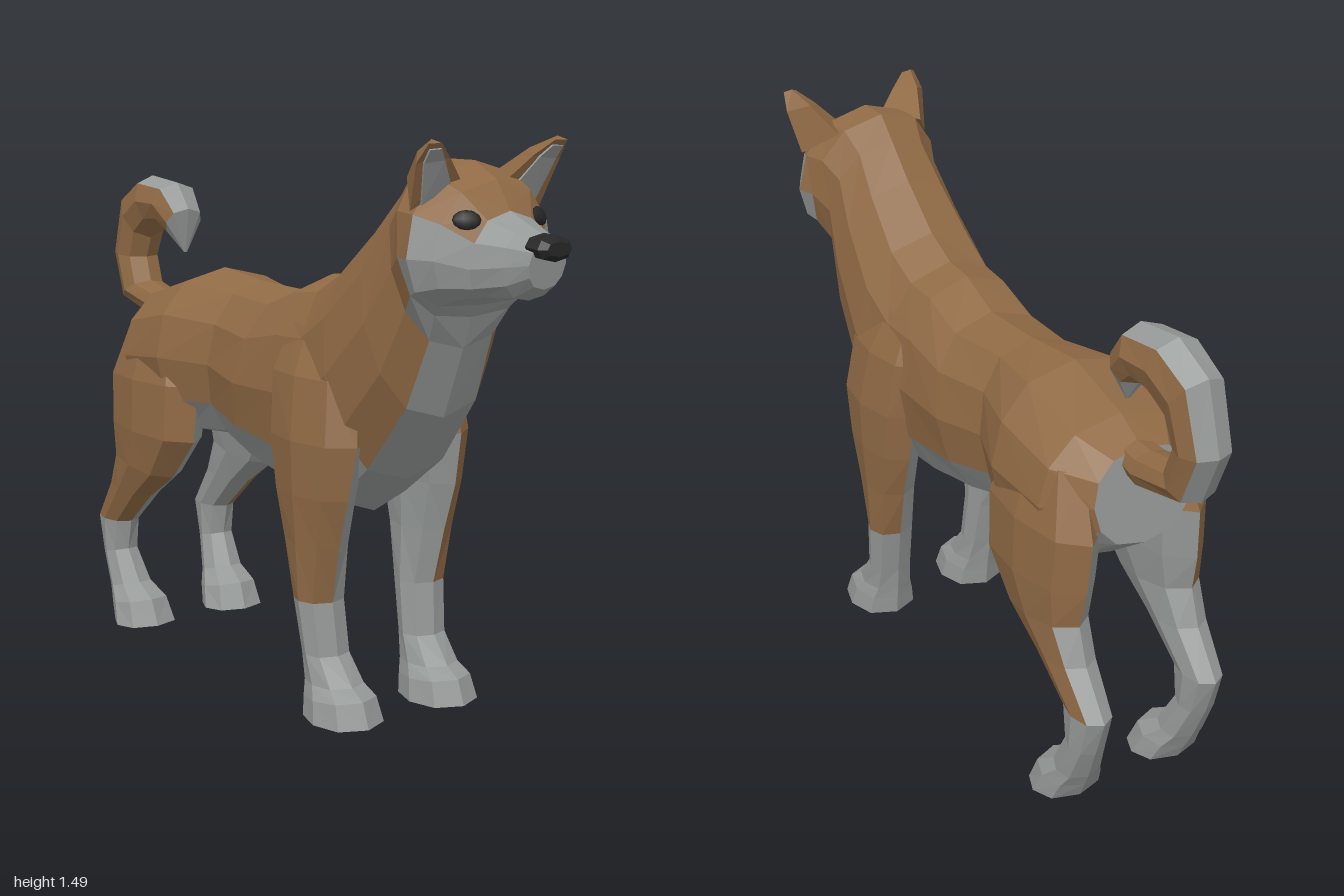
import * as THREE from 'three';

const BROWN = 0, PALE = 1, DARK = 2;
const NAMES = ['brownFur', 'paleFur', 'darkSkin'];
const HEX = [0x906a45, 0x959997, 0x262626];

// Cross-section between points a and b, given as [z, y], with half-width w about x0.
// k below or above 1 moves the widest level up or down.
function ring(a, b, w, { k = 1, x0 = 0, n = 12 } = {}) {
  const pts = [];
  for (let j = 0; j < n; j++) {
    const ang = (2 * Math.PI * j) / n;
    const t = ((1 - Math.cos(ang)) / 2) ** k;
    const s = Math.sin(ang);
    const x = x0 + w * Math.sign(s) * Math.abs(s) ** 0.8;
    pts.push(new THREE.Vector3(x, a[1] + (b[1] - a[1]) * t, a[0] + (b[0] - a[0]) * t));
  }
  return pts;
}

// Faceted skin over rings; colour(segment, strip) picks the material; side -1 mirrors it.
function loft(name, materials, rings, colour, side = 1) {
  const buckets = [[], [], []];
  const tri = (m, a, b, c) => {
    for (const p of side > 0 ? [a, b, c] : [a, c, b]) buckets[m].push(p.x * side, p.y, p.z);
  };
  const n = rings[0].length, last = rings.length - 1;
  for (let i = 0; i < last; i++) {
    for (let j = 0; j < n; j++) {
      const a = rings[i][j], b = rings[i][(j + 1) % n];
      const c = rings[i + 1][(j + 1) % n], d = rings[i + 1][j];
      const m = colour(i, j);
      if (j < n / 2) { tri(m, a, b, c); tri(m, a, c, d); }
      else { tri(m, a, b, d); tri(m, b, c, d); }
    }
  }
  // End caps
  const centre = (r) => r.reduce((s, p) => s.add(p), new THREE.Vector3()).divideScalar(n);
  const c0 = centre(rings[0]), c1 = centre(rings[last]);
  for (let j = 0; j < n; j++) {
    const q = (j + 1) % n;
    tri(colour(-1, j), c0, rings[0][q], rings[0][j]);
    tri(colour(last, j), c1, rings[last][j], rings[last][q]);
  }
  const geo = new THREE.BufferGeometry();
  geo.setAttribute('position', new THREE.Float32BufferAttribute(buckets.flat(), 3));
  let start = 0;
  buckets.forEach((b, m) => {
    if (b.length) geo.addGroup(start, b.length / 3, m);
    start += b.length / 3;
  });
  geo.computeVertexNormals();
  const mesh = new THREE.Mesh(geo, materials);
  mesh.name = name;
  return mesh;
}

// Trunk, neck and head: bottom, top, half-width, pale strips up each side, shape
const BODY = [
  [[-0.72, 0.72], [-0.69, 0.97], 0.14, 2],
  [[-0.58, 0.62], [-0.60, 1.02], 0.225, 2],
  [[-0.38, 0.60], [-0.40, 1.08], 0.235, 2],
  [[-0.25, 0.61], [-0.20, 1.06], 0.17, 2],
  [[-0.10, 0.57], [0.00, 1.055], 0.20, 2],
  [[0.12, 0.52], [0.13, 1.11], 0.20, 2],
  [[0.32, 0.51], [0.22, 1.12], 0.205, 2],
  [[0.46, 0.62], [0.32, 1.17], 0.21, 1],
  [[0.60, 0.80], [0.45, 1.28], 0.19, 1],
  [[0.67, 0.98], [0.54, 1.37], 0.17, 2],
  [[0.70, 1.06], [0.60, 1.43], 0.195, 3, 1.3],
  [[0.72, 1.09], [0.70, 1.43], 0.21, 4, 1.5],
  [[0.77, 1.11], [0.78, 1.39], 0.18, 4, 1.5],
  [[0.82, 1.12], [0.83, 1.32], 0.115, 6, 1.5],
  [[0.90, 1.12], [0.90, 1.29], 0.08, 6, 1.1],
  [[0.95, 1.15], [0.97, 1.265], 0.055, 6],
];

// Legs down to the paws: back, front, inner x, outer x
const FRONT_LEG = [
  [[0.14, 1.00], [0.38, 1.00], 0.08, 0.17],
  [[0.11, 0.88], [0.45, 0.88], 0.08, 0.225],
  [[0.13, 0.72], [0.47, 0.72], 0.08, 0.25],
  [[0.16, 0.58], [0.44, 0.58], 0.10, 0.245],
  [[0.20, 0.45], [0.40, 0.45], 0.105, 0.235],
  [[0.24, 0.30], [0.365, 0.30], 0.10, 0.228],
  [[0.27, 0.16], [0.38, 0.16], 0.095, 0.22],
  [[0.28, 0.09], [0.44, 0.09], 0.085, 0.225],
  [[0.285, 0.05], [0.485, 0.065], 0.07, 0.24],
  [[0.29, 0], [0.51, 0], 0.06, 0.25],
];
const HIND_LEG = [
  [[-0.66, 0.92], [-0.36, 0.92], 0.08, 0.20],
  [[-0.73, 0.76], [-0.30, 0.76], 0.07, 0.245],
  [[-0.72, 0.62], [-0.31, 0.60], 0.08, 0.25],
  [[-0.70, 0.52], [-0.42, 0.48], 0.10, 0.24],
  [[-0.735, 0.42], [-0.55, 0.40], 0.11, 0.23],
  [[-0.82, 0.30], [-0.67, 0.30], 0.12, 0.22],
  [[-0.785, 0.19], [-0.69, 0.21], 0.12, 0.22],
  [[-0.745, 0.09], [-0.64, 0.115], 0.10, 0.225],
  [[-0.725, 0.05], [-0.575, 0.075], 0.075, 0.24],
  [[-0.70, 0], [-0.545, 0], 0.06, 0.25],
];

// Curled tail: inside of curl, outside of curl, half-width
const TAIL = [
  [[-0.64, 0.98], [-0.66, 0.90], 0.05],
  [[-0.73, 0.98], [-0.74, 0.89], 0.06],
  [[-0.84, 1.00], [-0.94, 0.94], 0.065],
  [[-0.87, 1.07], [-1.00, 1.08], 0.065],
  [[-0.85, 1.13], [-0.95, 1.26], 0.07],
  [[-0.80, 1.17], [-0.84, 1.32], 0.075],
  [[-0.75, 1.18], [-0.70, 1.305], 0.075],
  [[-0.705, 1.15], [-0.645, 1.23], 0.06],
  [[-0.675, 1.10], [-0.668, 1.10], 0.006],
];

// Ear rings: outer, back and inner corner from base to tip
const EAR = [
  [[0.198, 1.32, 0.71], [0.13, 1.39, 0.61], [0.075, 1.39, 0.74]],
  [[0.217, 1.43, 0.755], [0.17, 1.455, 0.70], [0.125, 1.44, 0.765]],
  [[0.208, 1.476, 0.79], [0.19, 1.485, 0.775], [0.17, 1.476, 0.79]],
];

export function createModel() {
  const materials = HEX.map((color, i) => {
    const m = new THREE.MeshStandardMaterial({ color });
    m.name = NAMES[i];
    return m;
  });
  const dog = new THREE.Group();
  dog.name = 'dog';

  dog.add(loft('bodyAndHead', materials,
    BODY.map(([a, b, w, , k = 1]) => ring(a, b, w, { k })),
    (i, j) => (i < 0 || i >= BODY.length || Math.min(j, 11 - j) < BODY[Math.min(i, BODY.length - 1)][3] ? PALE : BROWN)));

  dog.add(loft('nose', materials, [
    ring([0.945, 1.22], [0.945, 1.278], 0.056, { n: 8 }),
    ring([0.985, 1.215], [0.98, 1.274], 0.052, { n: 8 }),
    ring([1.0, 1.228], [0.998, 1.262], 0.036, { n: 8 }),
  ], () => DARK));

  dog.add(loft('tail', materials,
    TAIL.map(([a, b, w], i) => ring(a, b, w, { n: 8, x0: 0.004 * i })),
    (i, j) => (Math.min(j, 7 - j) >= 3 || i >= 7 ? PALE : BROWN)));

  for (const side of [1, -1]) {
    const label = side > 0 ? 'left' : 'right';

    // Legs, pale inside and below
    const leg = (name, rows, colour) => dog.add(loft(label + name, materials,
      rows.map(([a, b, x0, x1]) => ring(a, b, (x1 - x0) / 2, { n: 8, x0: (x0 + x1) / 2 })), colour, side));
    leg('FrontLeg', FRONT_LEG, (i, j) => (i >= 5 || (j >= 4 && i >= 2) ? PALE : BROWN));
    leg('HindLeg', HIND_LEG, (i, j) => (i >= 5 || (j >= 4 && i >= 1) || (j === 0 && i >= 3) ? PALE : BROWN));

    // Ears with a pale inner plate
    const ear = EAR.map((r) => r.map((p) => new THREE.Vector3(...p)));
    dog.add(loft(label + 'Ear', materials, ear, () => BROWN, side));
    const inner = ear.map(([outer, , inside]) => {
      const o = outer.clone().lerp(inside, 0.2), q = inside.clone().lerp(outer, 0.2);
      const lift = new THREE.Vector3(0, -0.002, 0.005);
      return [o.clone().add(lift), o, q, q.clone().add(lift)];
    });
    inner[2].forEach((p, i) => p.lerp(inner[1][i], 0.3));
    dog.add(loft(label + 'InnerEar', materials, inner, () => PALE, side));

    // Eyes
    const eye = new THREE.Mesh(new THREE.SphereGeometry(1, 10, 6), materials[DARK]);
    eye.name = label + 'Eye';
    eye.scale.set(0.034, 0.024, 0.012);
    eye.position.set(0.11 * side, 1.302, 0.807);
    eye.lookAt(eye.position.clone().add(new THREE.Vector3(0.47 * side, 0.38, 0.8)));
    dog.add(eye);
  }
  return dog;
}
